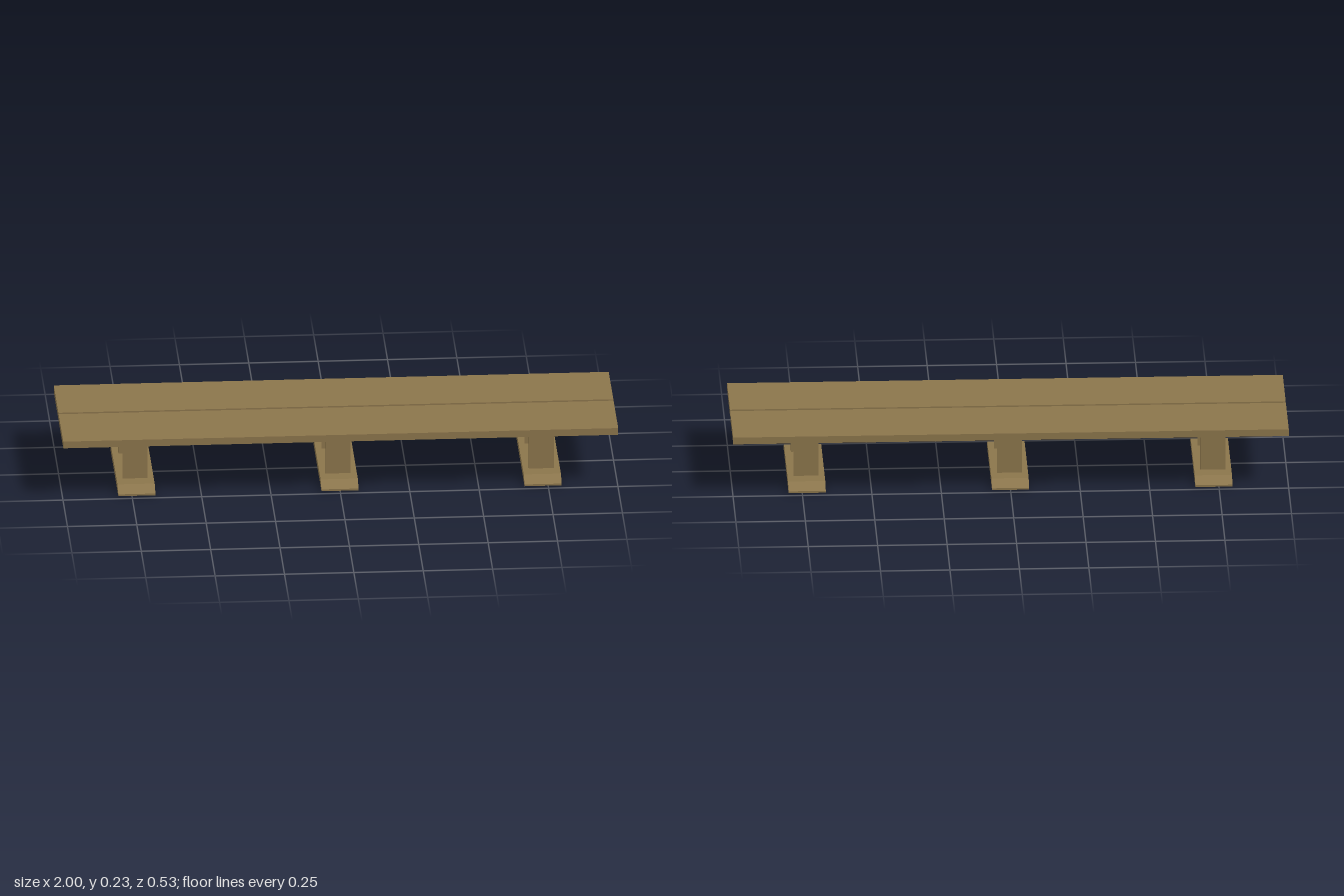
import * as THREE from 'three';

export function createModel() {
  const model = new THREE.Group();
  model.name = 'trestleTable';
  const wood = new THREE.MeshStandardMaterial({ color: 0x8b754b });
  wood.name = 'oak wood';

  const box = (parent, name, size, pos) => {
    const mesh = new THREE.Mesh(new THREE.BoxGeometry(...size), wood);
    mesh.name = name;
    mesh.position.set(...pos);
    parent.add(mesh);
  };

  // Two long top planks with a narrow gap between them
  for (const s of [1, -1]) {
    const side = s > 0 ? 'front' : 'back';
    box(model, side + 'Plank', [2, 0.026, 0.26], [0, 0.221, s * 0.1365]);
    // Slim rail joining the trestles under each plank
    box(model, side + 'Rail', [1.38, 0.009, 0.016], [0, 0.2035, s * 0.117]);
  }

  // Foot profile with bevelled ends, drawn along z and extruded across x
  const profile = new THREE.Shape([
    [-0.226, 0], [0.226, 0], [0.226, 0.007],
    [0.18, 0.027], [-0.18, 0.027], [-0.226, 0.007],
  ].map(([a, b]) => new THREE.Vector2(a, b)));
  const footGeometry = new THREE.ExtrudeGeometry(profile, { depth: 0.134, bevelEnabled: false });
  footGeometry.translate(0, 0, -0.067);
  footGeometry.rotateY(Math.PI / 2);

  // Three trestles: foot, two uprights and a crosspiece
  [-0.732, 0, 0.732].forEach((x, i) => {
    const trestle = new THREE.Group();
    trestle.name = ['right', 'middle', 'left'][i] + 'Trestle';
    trestle.position.x = x;
    const foot = new THREE.Mesh(footGeometry, wood);
    foot.name = 'foot';
    trestle.add(foot);
    for (const s of [1, -1]) {
      box(trestle, s > 0 ? 'frontUpright' : 'backUpright', [0.09, 0.168, 0.016], [0, 0.111, s * 0.118]);
    }
    box(trestle, 'crosspiece', [0.09, 0.013, 0.252], [0, 0.2015, 0]);
    model.add(trestle);
  });

  return model;
}
